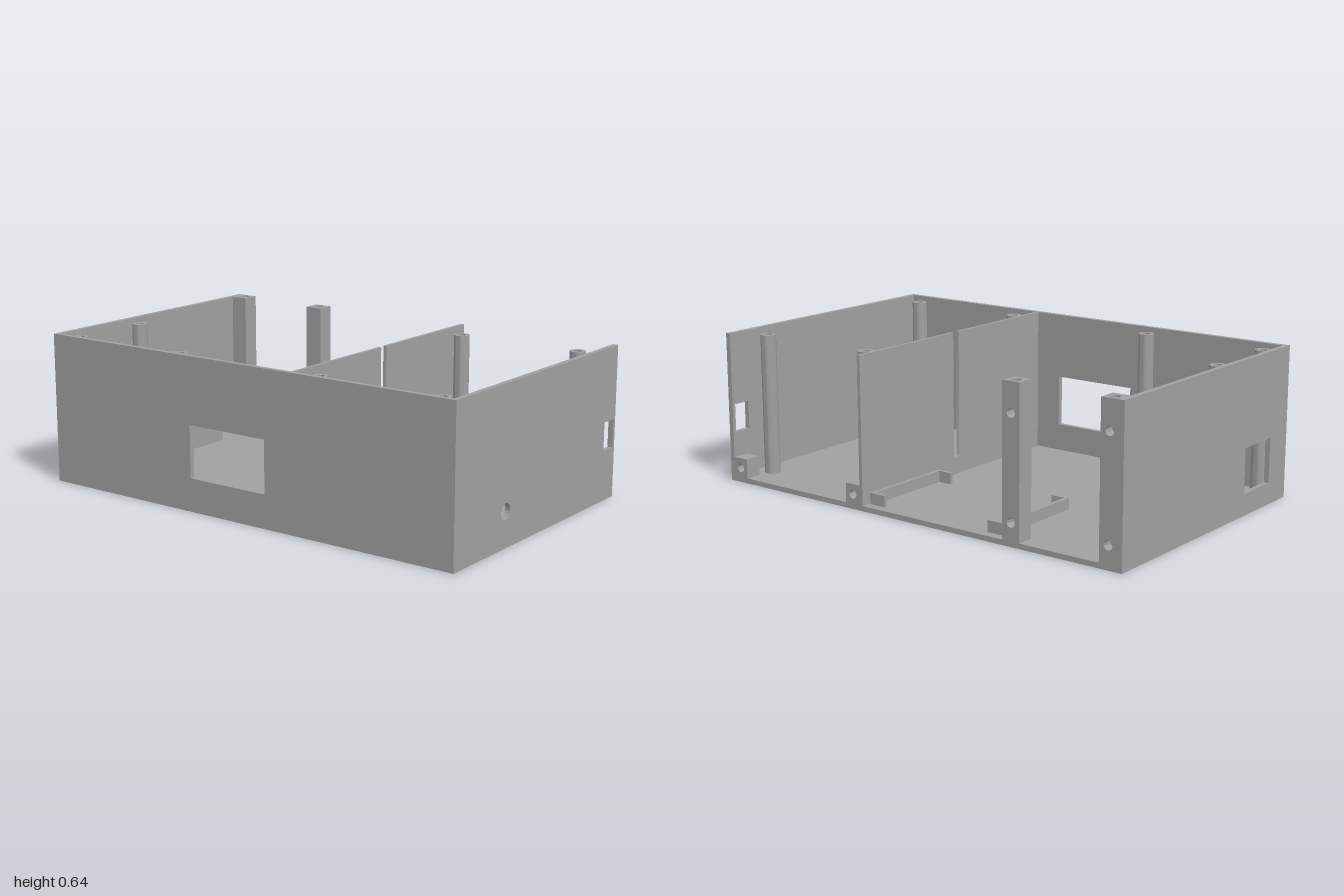
import * as THREE from 'three';
import { toCreasedNormals } from 'three/addons/utils/BufferGeometryUtils.js';

const H = 0.64, D = 0.605, T = 0.022; // height, half depth, wall thickness

export function createModel() {
  const model = new THREE.Group();
  model.name = 'enclosure';
  const grey = new THREE.MeshStandardMaterial({ color: 0xa0a0a0 });
  grey.name = 'grey plastic';

  const add = (name, geometry, x = 0, y = 0, z = 0, parent = model) => {
    const mesh = new THREE.Mesh(geometry, grey);
    mesh.name = name;
    mesh.position.set(x, y, z);
    parent.add(mesh);
    return mesh;
  };
  const group = (name) => {
    const g = new THREE.Group();
    g.name = name;
    model.add(g);
    return g;
  };
  // Box given by its limits
  const box = (name, x0, x1, y0, y1, z0, z1, parent) =>
    add(name, new THREE.BoxGeometry(x1 - x0, y1 - y0, z1 - z0),
      (x0 + x1) / 2, (y0 + y1) / 2, (z0 + z1) / 2, parent);

  // Rectangle outline and round or rectangular openings
  const rect = (a0, a1, b0, b1, Type = THREE.Shape) => {
    const s = new Type();
    s.moveTo(a0, b0).lineTo(a1, b0).lineTo(a1, b1).lineTo(a0, b1).closePath();
    return s;
  };
  const round = (a, b, r) => {
    const p = new THREE.Path();
    p.absarc(a, b, r, 0, Math.PI * 2, true);
    return p;
  };
  const extrude = (shape, depth, holes = []) => {
    shape.holes.push(...holes);
    const g = new THREE.ExtrudeGeometry(shape, { depth, bevelEnabled: false, curveSegments: 24 });
    return toCreasedNormals(g, 0.6);
  };
  // Extrusion of a (z, y) outline running from x towards -x
  const sidePanel = (name, shape, x, thickness, holes) =>
    add(name, extrude(shape, thickness, holes).rotateY(-Math.PI / 2), x);
  // Extrusion of an (x, -z) outline upwards
  const slab = (shape, thickness, holes) =>
    extrude(shape, thickness, holes).rotateX(-Math.PI / 2);

  // Floor with four round foot recesses underneath
  const feet = [];
  for (const x of [-0.91, 0.91]) for (const z of [-0.52, 0.52]) feet.push(round(x, z, 0.054));
  add('floorUnderside', slab(rect(-1, 1, -D, D), 0.01, feet));
  box('floor', -1, 1, 0.01, T, -D, D);

  // Outer walls; the back stays open
  add('frontWall', extrude(rect(-1, 1, T, H), T, [rect(-0.25, 0.13, 0.14, 0.36, THREE.Path)]), 0, 0, D - T);
  sidePanel('leftWall', rect(-D, D - T, T, H), 1, T,
    [round(0.25, 0.145, 0.033), rect(-0.59, -0.513, 0.212, 0.333, THREE.Path)]);
  sidePanel('rightWall', rect(-D, D - T, T, H), -1 + T, T,
    [rect(0.27, 0.47, 0.09, 0.28, THREE.Path)]);

  // Dividing wall with a round-bottomed cable slot
  const divider = new THREE.Shape();
  divider.moveTo(-D, T).lineTo(D - T, T).lineTo(D - T, H).lineTo(0.015, H).lineTo(0.015, 0.11);
  divider.absarc(-0.003, 0.11, 0.018, 0, -Math.PI, true);
  divider.lineTo(-0.021, H).lineTo(-D, H).closePath();
  sidePanel('divider', divider, 0.262, 0.015);

  // Tall screw pillars at the open back: bored from behind and from the top
  for (const [x0, x1] of [[-1 + T, -0.9], [-0.54, -0.46]]) {
    const g = group('backPillar'), cx = (x0 + x1) / 2, capY = 0.56;
    add('pillarBack', extrude(rect(x0, x1, T, capY), 0.045,
      [round(cx, 0.095, 0.019), round(cx, 0.52, 0.019)]), 0, 0, -D, g);
    box('pillarCore', x0, x1, T, capY, -0.56, -0.53, g);
    add('pillarTop', slab(rect(x0, x1, 0.53, D), H - capY, [round(cx, 0.573, 0.02)]), 0, capY, 0, g);
  }

  // Short screw blocks at the open back
  for (const [x0, x1] of [[0.262, 0.336], [0.904, 1 - T]]) {
    const g = group('backBlock');
    add('blockBack', extrude(rect(x0, x1, T, 0.105), 0.045,
      [round((x0 + x1) / 2, 0.062, 0.019)]), 0, 0, -D, g);
    box('blockCore', x0, x1, T, 0.105, -0.56, -0.533, g);
  }

  // Hollow standoffs
  const tube = (outer, inner, top) => {
    const points = [[inner, T], [outer, T], [outer, top], [inner, top], [inner, T]]
      .map(([r, y]) => new THREE.Vector2(r, y));
    return toCreasedNormals(new THREE.LatheGeometry(points, 28), 0.6);
  };
  const tall = tube(0.033, 0.017, 0.625);
  for (const [x, z] of [[-0.922, 0.165], [-0.922, 0.525], [-0.363, 0.525],
    [0.34, 0.525], [0.893, 0.525], [0.34, -0.465], [0.893, -0.465]]) {
    add('tallStandoff', tall, x, 0, z);
  }
  const small = tube(0.023, 0.013, 0.075);
  for (const x of [0.362, 0.465]) for (const z of [0.325, 0.405]) add('smallStandoff', small, x, 0, z);

  // Pair of low C-shaped rails facing each other
  for (const s of [-1, 1]) {
    const g = group(s < 0 ? 'rightRail' : 'leftRail');
    g.position.x = -0.098;
    const span = (name, a, b, z0, z1) =>
      box(name, Math.min(s * a, s * b), Math.max(s * a, s * b), T, 0.07, z0, z1, g);
    span('railBar', 0.322, 0.338, -0.566, -0.134);
    span('railBackEnd', 0.262, 0.322, -0.566, -0.551);
    span('railFrontEnd', 0.262, 0.322, -0.149, -0.134);
  }

  // Open compartment against the right wall
  const bay = group('compartment');
  box('compartmentSide', -0.842, -0.829, T, 0.18, -0.267, 0.106, bay);
  box('compartmentBack', -1 + T, -0.842, T, 0.18, -0.267, -0.254, bay);
  box('compartmentFront', -1 + T, -0.842, T, 0.18, 0.093, 0.106, bay);

  return model;
}
